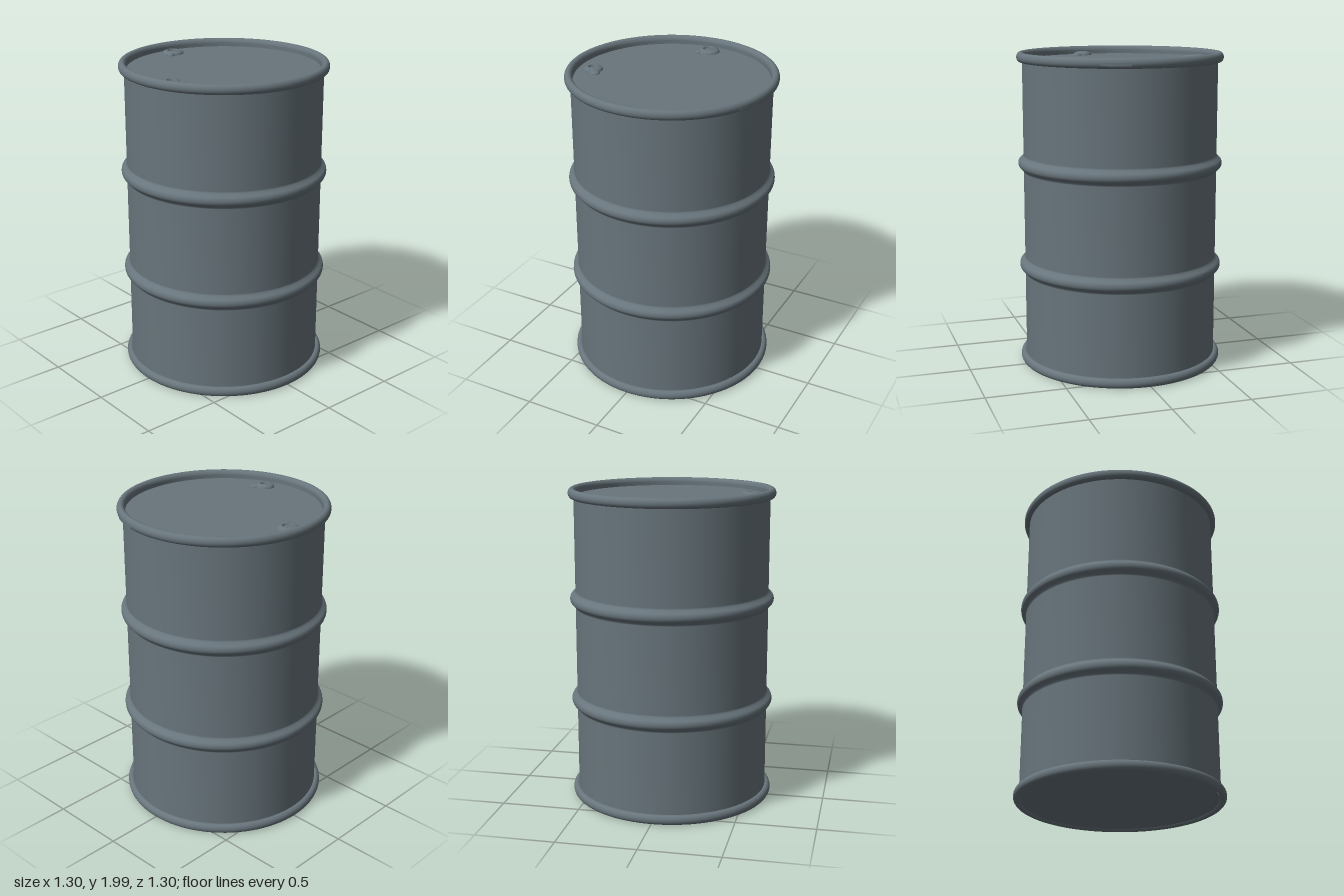
import * as THREE from 'three';

const SEG = 96;
const BODY_R = 0.614;

export function createModel() {
  const group = new THREE.Group();
  group.name = 'steelDrum';
  const steel = new THREE.MeshStandardMaterial({ color: 0x68757c });
  steel.name = 'blueGreySteel';

  const add = (name, geometry, parent = group) => {
    const mesh = new THREE.Mesh(geometry, steel);
    mesh.name = name;
    parent.add(mesh);
    return mesh;
  };
  const lathe = (pts, seg = SEG) =>
    new THREE.LatheGeometry(pts.map(([r, y]) => new THREE.Vector2(r, y)), seg);

  // Elliptical arc of profile points
  const arc = (cr, cy, rr, ry, from, to, n = 12) =>
    Array.from({ length: n + 1 }, (_, i) => {
      const a = from + ((to - from) * i) / n;
      return [cr + rr * Math.cos(a), cy + ry * Math.sin(a)];
    });

  // Rolling hoop: rounded crest with soft fillets into the wall
  const hoop = (y) => [
    [BODY_R, y - 0.055], [BODY_R + 0.003, y - 0.046],
    [BODY_R + 0.012, y - 0.037],
    ...arc(0.626, y, 0.022, 0.031, -1.2, 1.2, 8),
    [BODY_R + 0.012, y + 0.037],
    [BODY_R + 0.003, y + 0.046], [BODY_R, y + 0.055],
  ];

  // Side wall with two hoops
  add('body', lathe([[BODY_R, 0.05], ...hoop(0.645), ...hoop(1.302), [BODY_R, 1.95]]));

  // Rolled rims at both ends
  const rim = (y) => lathe(arc(0.624, y, 0.025, 0.031, -Math.PI, Math.PI, 24));
  add('bottomRim', rim(0.036));
  add('topRim', rim(1.968));

  // Inner chime walls and recessed end plates
  add('lidWall', lathe([[0.599, 1.972], [0.599, 1.948]]));
  add('lid', lathe([[0.602, 1.948], [0, 1.948]]));
  add('bottomWall', lathe([[0.599, 0.02], [0.599, 0.034]].reverse()).scale(1, 1, 1));
  add('bottomPlate', lathe([[0, 0.02], [0.602, 0.02]]));

  // Threaded plug: raised ring, sunken centre cap and a side lug
  const plug = (name, x, z, r, hole, lug) => {
    const g = new THREE.Group();
    g.name = name;
    g.position.set(x, 1.948, z);
    group.add(g);
    add('plugFlange', lathe([
      [r, 0], [r * 0.97, 0.008], [r * 0.88, 0.014], [r * 0.72, 0.018],
      [hole * 1.2, 0.022], [hole, 0.02], [hole * 0.95, 0.01],
    ], 32), g);
    add('plugCap', lathe([[hole, 0.01], [hole * 0.6, 0.012], [0, 0.013]], 24), g);
    const l = add('plugLug', new THREE.SphereGeometry(1, 20, 10, 0, Math.PI * 2, 0, Math.PI / 2), g);
    l.position.set(lug[0], 0, lug[1]);
    l.scale.set(lug[2], 0.016, lug[2]);
  };
  plug('largePlug', -0.003, -0.512, 0.07, 0.033, [-0.05, 0.045, 0.025]);
  plug('smallPlug', -0.49, 0.108, 0.06, 0.027, [0.043, 0.05, 0.031]);

  // Shallow seam plate on the top rim, wrapped round the left side
  const seam = new THREE.CylinderGeometry(0.651, 0.651, 0.018, 12, 1, true, 1.09, 0.28);
  add('rimSeam', seam).position.y = 1.963;

  return group;
}
